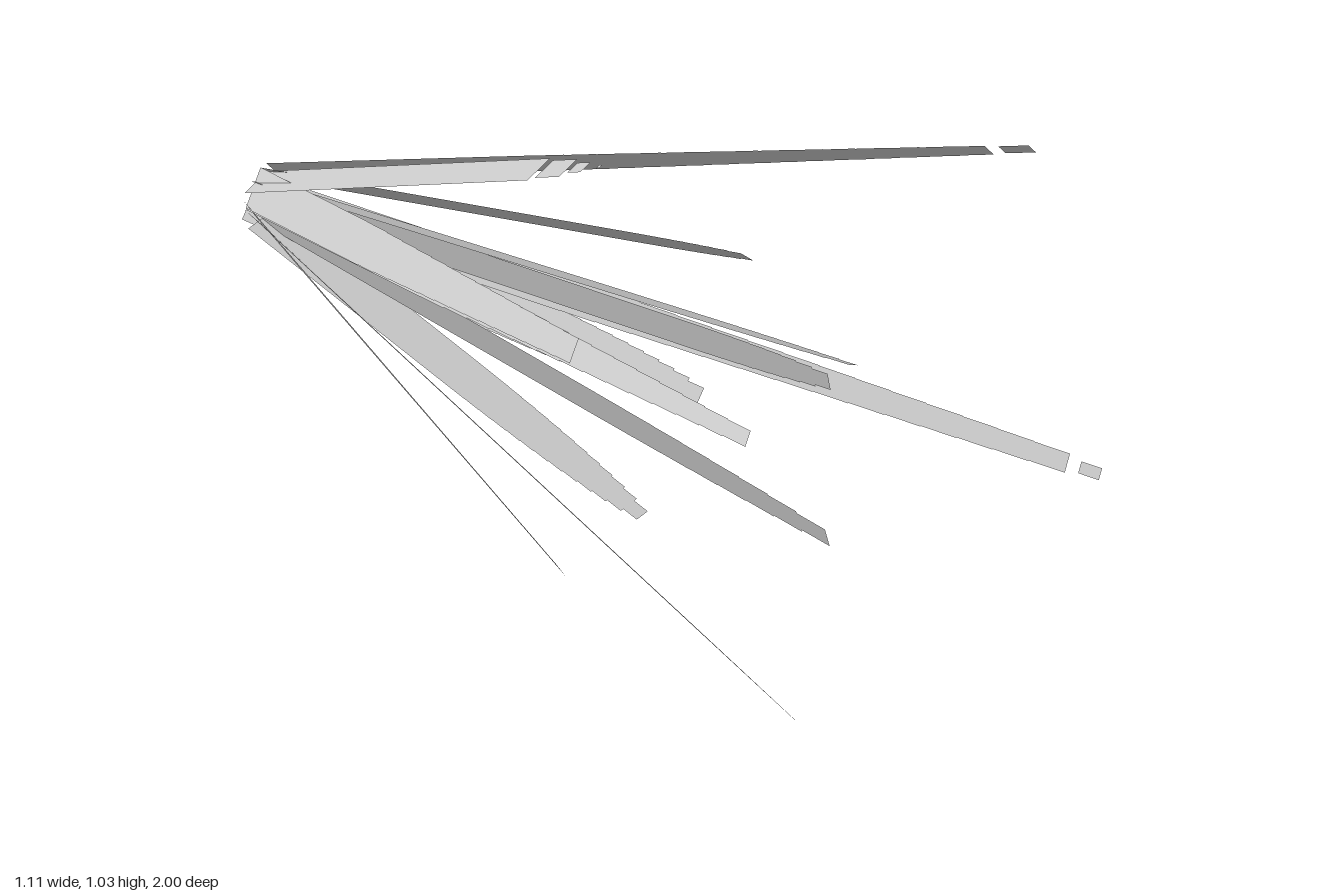
import * as THREE from 'three';

const material = new THREE.MeshStandardMaterial({ color: 0xcccccc, side: THREE.DoubleSide, flatShading: true });

// Stepped half width along a blade, full up to `from`, then narrowing to the end
function steppedOutline(length, half, { from, end, round, stop = 1, steps = 14 }) {
  const side = [[half, 0]];
  for (let i = 0; i < steps; i++) {
    const a = from + (stop - from) * i / steps;
    const b = from + (stop - from) * (i + 1) / steps;
    const u = (i + 0.5) / steps;
    const f = round ? Math.sqrt(1 - u * u) : 1;
    const w = half * (end + (1 - end) * (round ? f : 1 - u));
    side.push([w, a * length], [w, b * length]);
  }
  // the first step drops straight from the full width
  side.splice(1, 0, [half, from * length]);
  const points = [...side, ...side.map(([w, v]) => [-w, v]).reverse()];
  return new THREE.Shape(points.map(([x, y]) => new THREE.Vector2(x, y)));
}

function rectangle(half, v0, v1) {
  return new THREE.Shape([[-half, v0], [half, v0], [half, v1], [-half, v1]].map(([x, y]) => new THREE.Vector2(x, y)));
}

// Flat blade from root to tip, its width lying tangent to the cone of blades
function makeBlade({ name, root, tip, half, taper, pieces = [] }) {
  const start = new THREE.Vector3(...root);
  const axis = new THREE.Vector3(...tip).sub(start);
  const length = axis.length();
  axis.normalize();
  const across = new THREE.Vector3(axis.y, -axis.x, 0).normalize();
  const normal = new THREE.Vector3().crossVectors(across, axis);
  const shapes = [
    steppedOutline(length, half, taper),
    ...pieces.map(([t0, t1, f]) => rectangle(half * f, t0 * length, t1 * length)),
  ];
  const geometry = new THREE.ShapeGeometry(shapes);
  geometry.applyMatrix4(new THREE.Matrix4().makeBasis(across, axis, normal).setPosition(start));
  const mesh = new THREE.Mesh(geometry, material);
  mesh.name = name;
  return mesh;
}

const rounded = { from: 0.5, end: 0.12, round: true };
const blunt = { from: 0.75, end: 0.4, round: true, steps: 9 };
const square = { from: 0.35, end: 0.55, round: false };

const blades = [
  // upper blades
  { name: 'topBlade', root: [-0.1, 0.495, -0.95], tip: [-0.208, 1.03, 0.14], half: 0.043,
    taper: { from: 0.5, end: 1, stop: 0.82, steps: 1 },
    pieces: [[0.835, 0.905, 0.8], [0.917, 0.955, 0.45], [0.99, 1, 0.15]] },
  { name: 'upperLeftLongBlade', root: [-0.03, 0.49, -0.95], tip: [0.537, 0.967, 0.81], half: 0.048,
    taper: { ...square, stop: 0.943 }, pieces: [[0.96, 1, 0.45]] },
  { name: 'upperLeftShortBlade', root: [-0.045, 0.49, -0.95], tip: [0.13, 0.675, 0.3], half: 0.053, taper: blunt },
  { name: 'upperMiddleBlade', root: [-0.07, 0.48, -0.95], tip: [0.002, 0.61, 0.71], half: 0.057, taper: rounded },
  { name: 'upperRightLongBlade', root: [-0.11, 0.475, -0.95], tip: [-0.515, 0.712, 0.81], half: 0.046,
    taper: { ...square, end: 0.4 } },
  { name: 'upperRightShortBlade', root: [-0.11, 0.485, -0.95], tip: [-0.51, 0.745, 0.3], half: 0.05,
    taper: { ...square, end: 0.6 } },
  // side blades
  { name: 'leftBlade', root: [-0.045, 0.432, -0.95], tip: [0.09, 0.463, 0.57], half: 0.043, taper: blunt },
  { name: 'rightBlade', root: [-0.085, 0.41, -0.95], tip: [-0.285, 0.345, 0.86], half: 0.048, taper: { ...blunt, from: 0.55 } },
  // lower blades
  { name: 'lowerLeftLongBlade', root: [-0.03, 0.42, -0.95], tip: [0.548, 0.15, 1], half: 0.041,
    taper: { ...square, stop: 0.96 }, pieces: [[0.975, 1, 0.35]] },
  { name: 'lowerLeftShortBlade', root: [-0.05, 0.41, -1], tip: [0.335, 0.065, 0], half: 0.057,
    taper: { ...rounded, end: 0.25 } },
  { name: 'bottomBlade', root: [-0.07, 0.385, -0.95], tip: [-0.055, 0, 0.14], half: 0.058, taper: rounded },
  { name: 'lowerRightLongBlade', root: [-0.11, 0.405, -0.95], tip: [-0.545, 0.025, 0.97], half: 0.05, taper: rounded },
  { name: 'lowerRightShortBlade', root: [-0.12, 0.43, -0.95], tip: [-0.532, 0.148, 0.28], half: 0.05, taper: square },
];

export function createModel() {
  const group = new THREE.Group();
  group.name = 'bladeBurst';
  blades.forEach((blade) => group.add(makeBlade(blade)));
  return group;
}
